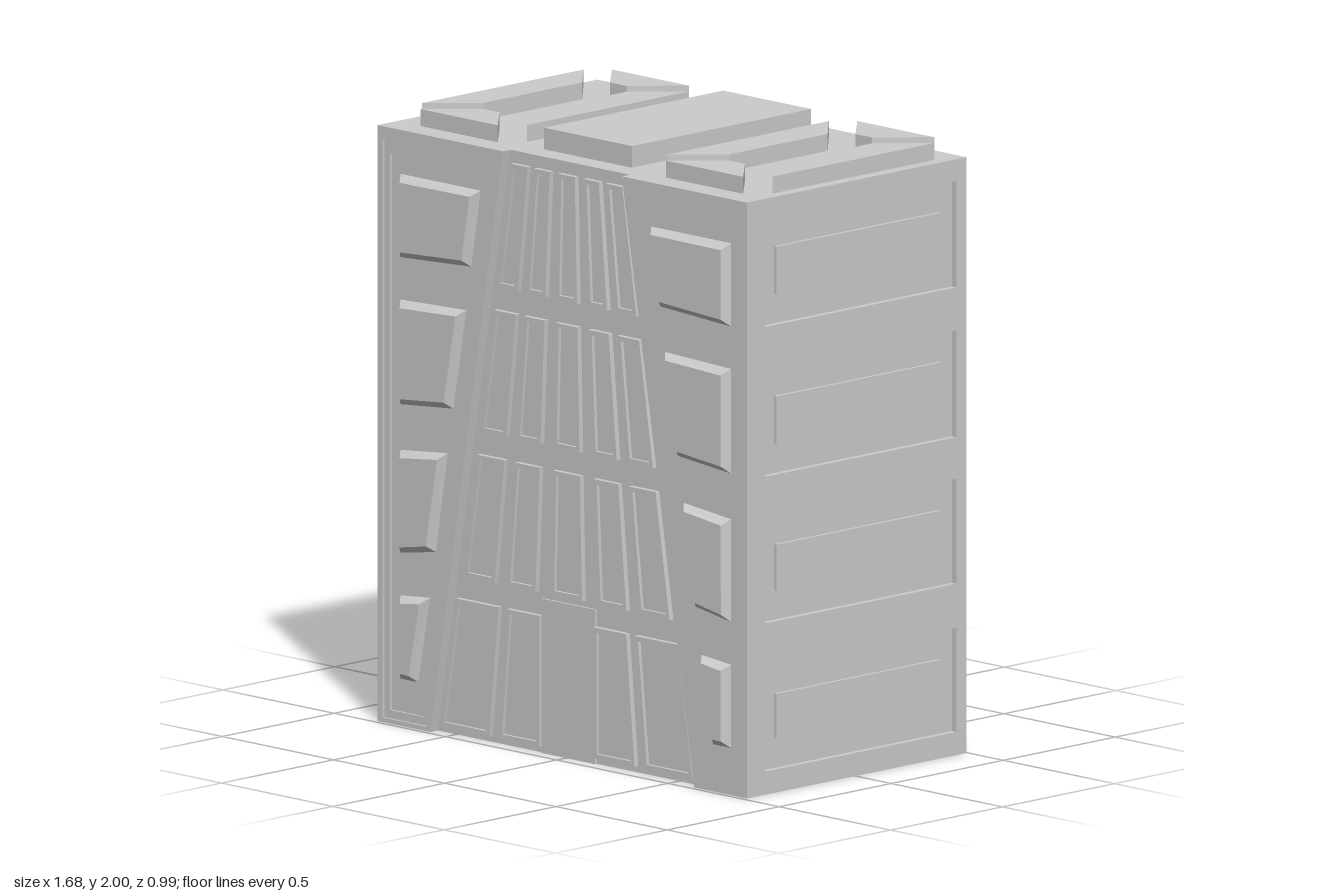
import * as THREE from 'three';

const CX = 0.01; // symmetry line of the facade
const material = new THREE.MeshStandardMaterial({ color: 0xcccccc });

const toShape = (pts) => new THREE.Shape(pts.map(([x, y]) => new THREE.Vector2(x, y)));
const rect = (x0, y0, x1, y1) => [[x0, y0], [x1, y0], [x1, y1], [x0, y1]];

// Flat plate with optional holes, extruded along +z from 'from' to 'to'
function plate(pts, from, to, holes = []) {
  const shape = toShape(pts);
  holes.forEach((h) => shape.holes.push(new THREE.Path(h.map(([x, y]) => new THREE.Vector2(x, y)))));
  const g = new THREE.ExtrudeGeometry(shape, { depth: to - from, bevelEnabled: false });
  return g.translate(0, 0, from);
}

// Raised panel with sloping sides
function bevelPanel(pts, from, to, size) {
  const g = new THREE.ExtrudeGeometry(toShape(pts), {
    depth: 0.002, bevelEnabled: true, bevelSegments: 1,
    bevelThickness: to - from, bevelSize: size, bevelOffset: -size,
  });
  return g.translate(0, 0, from - 0.002);
}

export function createModel() {
  const model = new THREE.Group();
  const add = (parent, name, geometry) => {
    const mesh = new THREE.Mesh(geometry, material);
    mesh.name = name;
    parent.add(mesh);
    return mesh;
  };
  const group = (name) => {
    const g = new THREE.Group();
    g.name = name;
    model.add(g);
    return g;
  };

  // Main block
  add(model, 'body', plate(rect(-0.82, 0, 0.82, 1.93), -0.495, 0.45));

  // Front flanks: stepped frame and four bevelled panels, mirrored
  const flankPanels = [
    [[-0.733, 1.513], [-0.415, 1.53], [-0.373, 1.783], [-0.733, 1.783]],
    [[-0.733, 1.037], [-0.495, 1.058], [-0.437, 1.386], [-0.733, 1.376]],
    [[-0.733, 0.556], [-0.574, 0.582], [-0.521, 0.91], [-0.733, 0.889]],
    [[-0.733, 0.148], [-0.653, 0.148], [-0.6, 0.43], [-0.733, 0.418]],
  ];
  const edge = [[-0.82, 0], [-0.583, 0], [-0.258, 1.93], [-0.82, 1.93]];
  const step1 = [[-0.797, 0.015], [-0.602, 0.015], [-0.288, 1.885], [-0.797, 1.885]];
  const step2 = [[-0.772, 0.042], [-0.622, 0.042], [-0.325, 1.845], [-0.772, 1.845]];
  for (const side of [-1, 1]) {
    const flank = group(side < 0 ? 'rightFlank' : 'leftFlank');
    const m = (pts) => (side < 0 ? pts : pts.map(([x, y]) => [2 * CX - x, y]));
    add(flank, 'flankRim', plate(m(edge), 0.45, 0.485, [m(step1)]));
    add(flank, 'flankStep', plate(m(step1), 0.45, 0.477, [m(step2)]));
    add(flank, 'flankFloor', plate(m(step2), 0.45, 0.469));
    flankPanels.forEach((p) => add(flank, 'flankPanel', bevelPanel(m(p), 0.469, 0.495, 0.022)));
  }

  // Central tapering facade: rows of framed windows around a doorway
  const facade = group('facade');
  const halfWidth = (y) => 0.592 - (0.324 * y) / 1.92;
  const doorHalf = 0.12;
  const rows = [[1.48, 1.89], [1.0, 1.405], [0.52, 0.925], [0.02, 0.445]];
  const columns = [[-0.92, -0.64], [-0.535, -0.275], [-0.14, 0.14], [0.275, 0.535], [0.64, 0.92]];
  const lowColumns = [[-0.965, -0.59], [-0.52, -0.19], [0.19, 0.52], [0.59, 0.965]];
  rows.forEach(([y0, y1], r) => {
    const low = r === 3;
    for (const [u0, u1] of low ? lowColumns : columns) {
      const px = (u, y, inset) => {
        let x = u * halfWidth(y);
        if (low) x = Math.sign(x) * Math.max(Math.abs(x), doorHalf);
        return CX + x + inset;
      };
      const outline = (i) => [
        [px(u0, y0 + i, i), y0 + i], [px(u1, y0 + i, -i), y0 + i],
        [px(u1, y1 - i, -i), y1 - i], [px(u0, y1 - i, i), y1 - i],
      ];
      add(facade, 'windowFrame', plate(outline(0), 0.445, 0.467, [outline(0.016)]));
      add(facade, 'windowPane', plate(outline(0.016), 0.445, 0.456));
    }
  });
  add(facade, 'door', plate(rect(CX - doorHalf, 0, CX + doorHalf, 0.5), 0.445, 0.458));

  // Left wall: four recessed bays, each with a raised inner panel
  const leftWall = group('leftWall');
  leftWall.rotation.y = Math.PI / 2; // local x is -z
  const bays = [[0.075, 0.412], [0.555, 0.895], [1.03, 1.375], [1.515, 1.86]];
  add(leftWall, 'wallFrame', plate(rect(-0.45, 0, 0.495, 1.93), 0.82, 0.84,
    bays.map(([a, b]) => rect(-0.405, a, 0.45, b))));
  for (const [a, b] of bays) {
    add(leftWall, 'wallPanel', plate(rect(-0.345, a + 0.095, 0.39, b - 0.095), 0.815, 0.832));
  }

  // Right wall: raised geometric panels, mirrored in both directions
  const rightWall = group('rightWall');
  rightWall.rotation.y = -Math.PI / 2; // local x is z
  const ZC = -0.025, YC = 0.965;
  const relief = (name, pts, sx, sy) => add(rightWall, name,
    plate(pts.map(([z, y]) => [ZC + sx * z, YC + sy * (y - YC)]), 0.815, 0.845));
  for (const sy of [1, -1]) {
    relief('endPanel', [[-0.145, 1.43], [0.145, 1.43], [0.345, 1.845], [-0.345, 1.845]], 1, sy);
    for (const sx of [1, -1]) {
      relief('outerPanel', [[0.435, 1.45], [0.435, 1.8], [0.195, 1.43], [0.195, 1.22]], sx, sy);
      relief('middlePanel', [[0.435, 1.0], [0.435, 1.36], [0.195, 1.13], [0.195, 1.0]], sx, sy);
    }
    for (const y of [0.99, 1.18]) relief('smallBlock', rect(-0.155, y, 0.155, y + 0.14), 1, sy);
  }

  // Roof: central slab and two rings of four wedge blocks
  const roof = group('roof');
  roof.rotation.x = -Math.PI / 2; // local y is -z
  add(roof, 'roofSlab', plate(rect(-0.187, -0.37, 0.207, 0.43), 1.925, 2.0));
  for (const x of [-0.54, 0.563]) {
    const block = (pts) => add(roof, 'roofBlock',
      plate(pts.map(([a, z]) => [x + a, -z]), 1.925, 1.985));
    for (const s of [-1, 1]) {
      block([[s * 0.236, -0.39], [s * 0.236, 0.33], [s * 0.1, 0.19], [s * 0.1, -0.25]]);
      const zc = -0.028;
      block([[-0.173, zc + s * 0.427], [0.173, zc + s * 0.427],
        [0.037, zc + s * 0.283], [-0.037, zc + s * 0.283]]);
    }
  }

  return model;
}
